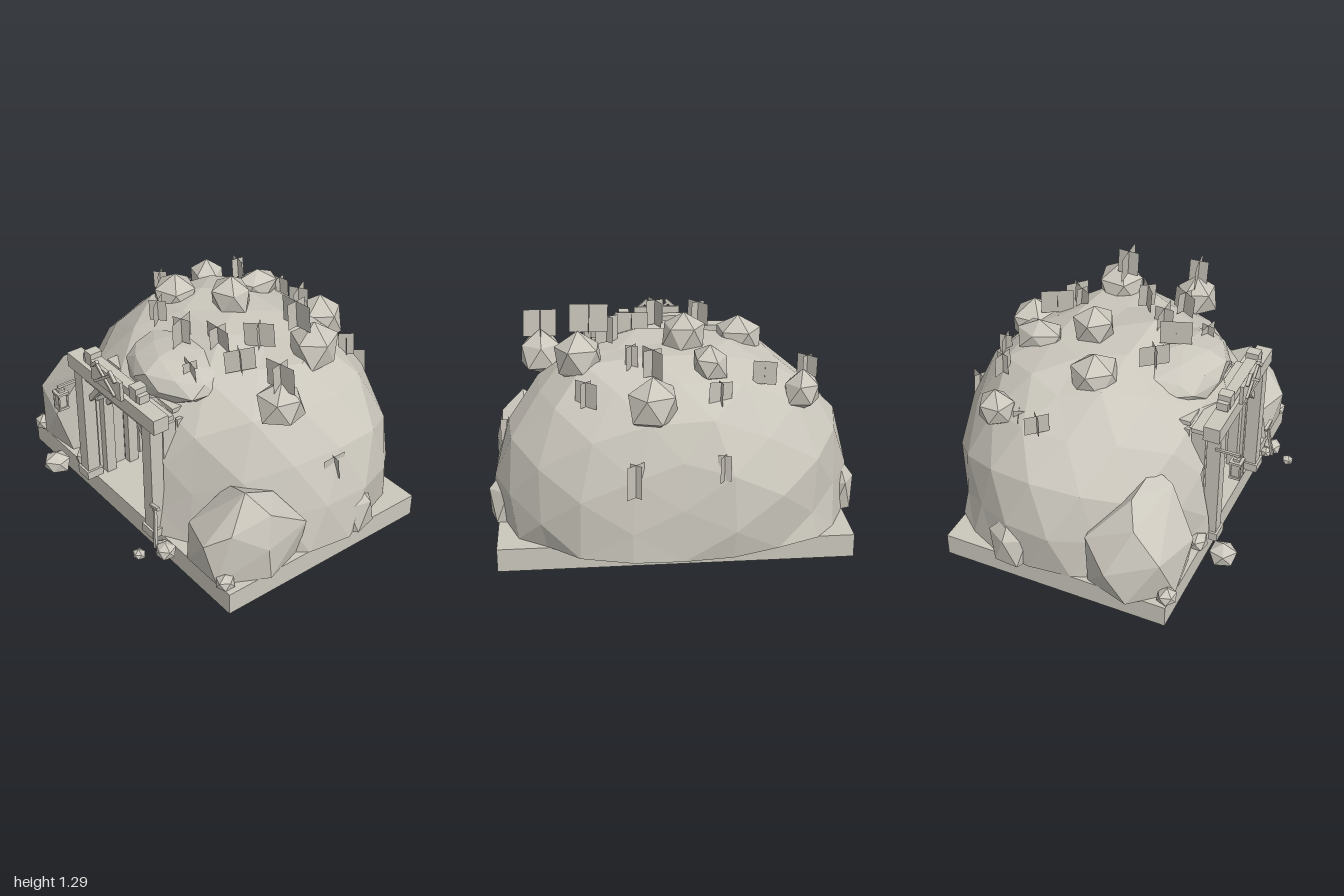
import * as THREE from 'three';
import { mergeVertices } from 'three/addons/utils/BufferGeometryUtils.js';
import { ConvexGeometry } from 'three/addons/geometries/ConvexGeometry.js';

export function createModel() {
  const model = new THREE.Group();
  const stone = new THREE.MeshStandardMaterial({ color: 0xcbc7bd });
  stone.name = 'warm grey stone and timber';
  stone.flatShading = true;
  const leaf = new THREE.MeshStandardMaterial({ color: 0xc6c2b8, side: THREE.DoubleSide });
  leaf.name = 'grey foliage';
  const dark = new THREE.MeshStandardMaterial({ color: 0x1c1c1c });
  dark.name = 'tunnel black';
  const earth = new THREE.MeshStandardMaterial({ color: 0x72716c });
  earth.name = 'dark grey underside';
  const GROUND = 0.127;

  let seed = 7;
  const rnd = () => ((seed = (seed * 16807) % 2147483647) / 2147483647) * 2 - 1;

  const add = (name, geo, x = 0, y = 0, z = 0, mat = stone, parent = model) => {
    const m = new THREE.Mesh(geo, mat);
    m.name = name;
    m.position.set(x, y, z);
    parent.add(m);
    return m;
  };
  const box = (name, w, h, d, x, y, z, mat = stone, parent = model) =>
    add(name, new THREE.BoxGeometry(w, h, d), x, y, z, mat, parent);

  // Square beam between two points
  const beam = (name, a, b, t, parent = model) => {
    const p = new THREE.Vector3(...a), q = new THREE.Vector3(...b);
    const m = box(name, t, p.distanceTo(q), t, 0, 0, 0, stone, parent);
    m.position.copy(p).add(q).multiplyScalar(0.5);
    m.quaternion.setFromUnitVectors(new THREE.Vector3(0, 1, 0), q.sub(p).normalize());
    return m;
  };

  // Indexed icosphere, so shared corners move together
  const ico = (detail) => {
    const g = new THREE.IcosahedronGeometry(1, detail);
    g.deleteAttribute('normal');
    g.deleteAttribute('uv');
    return mergeVertices(g, 1e-3);
  };

  // Faceted rock: corner turned upwards, jittered, and cut flat at the ground
  const rock = (name, [x, y, z], [rx, ry, rz], detail = 0, rough = 0.12) => {
    const g = ico(detail), p = g.attributes.position;
    g.rotateX(-Math.atan((1 + Math.sqrt(5)) / 2));
    g.rotateY(rnd() * 3);
    for (let i = 0; i < p.count; i++) {
      const k = 1 + rnd() * rough;
      p.setXYZ(i, p.getX(i) * k * rx, Math.max(p.getY(i) * k * ry, GROUND - y), p.getZ(i) * k * rz);
    }
    const flat = g.toNonIndexed();
    flat.computeVertexNormals();
    return add(name, flat, x, y, z);
  };

  // Base slab with a darker underside
  box('baseSlab', 1.87, GROUND, 1.28, 0.015, GROUND / 2, 0.005, [stone, stone, stone, earth, stone, stone]);

  // Mountain: hollow faceted dome with a doorway cut in the front
  {
    const g = ico(3), p = g.attributes.position, low = [];
    for (let i = 0; i < p.count; i++) {
      let x = p.getX(i), y = p.getY(i), z = p.getZ(i), r = Math.hypot(x, z);
      low[i] = y <= 0.02;
      if (low[i]) { x /= r || 1; z /= r || 1; y = 0; r = 1; }
      const n = 2.7, s = Math.pow(Math.pow(r, n) + Math.pow(y, n), -1 / n) * (1 + rnd() * 0.03);
      p.setXYZ(i, 0.97 * x * s, GROUND + 0.93 * y * s, -0.125 + (z > 0 ? 0.8 : 0.74) * z * s);
    }
    const W = 0.35, H = 0.82, idx = g.index.array, keep = [];
    const inside = Array.from({ length: p.count }, (_, i) =>
      Math.abs(p.getX(i)) < W && p.getY(i) < H && p.getZ(i) > 0.1);
    for (let i = 0; i < idx.length; i += 3) {
      const t = [idx[i], idx[i + 1], idx[i + 2]];
      if (!t.every((v) => low[v]) && !t.every((v) => inside[v])) keep.push(...t);
    }
    // Slide corners left inside the doorway out to its nearest edge
    for (let i = 0; i < p.count; i++) {
      if (!inside[i]) continue;
      const x = p.getX(i), y = p.getY(i);
      if (W - Math.abs(x) < H - y) p.setX(i, x < 0 ? -W : W);
      else p.setY(i, H);
    }
    g.setIndex(keep);
    const flat = g.toNonIndexed();
    flat.computeVertexNormals();
    add('mountain', flat);
  }

  // Large angular boulders on both sides of the entrance
  const boulder = (name, corners) =>
    add(name, new ConvexGeometry(corners.map((c) => new THREE.Vector3(...c))));
  boulder('rightBoulder', [
    [-0.98, GROUND, 0.45], [-0.9, GROUND, 0.2], [-0.6, GROUND, 0.15], [-0.5, GROUND, 0.35],
    [-0.55, GROUND, 0.62], [-0.8, GROUND, 0.65], [-1, 0.3, 0.34], [-0.9, 0.38, 0.6],
    [-0.62, 0.36, 0.67], [-0.5, 0.42, 0.42], [-0.6, 0.45, 0.18], [-0.9, 0.42, 0.19],
    [-0.75, 0.62, 0.38], [-0.52, 0.67, 0.4], [-0.55, 0.62, 0.52], [-0.88, 0.54, 0.45],
  ]);
  boulder('leftBoulder', [
    [0.5, GROUND, 0.45], [0.6, GROUND, 0.65], [0.85, GROUND, 0.65], [0.98, GROUND, 0.4],
    [0.9, GROUND, 0.15], [0.6, GROUND, 0.2], [0.47, 0.22, 0.4], [0.58, 0.34, 0.62],
    [0.78, 0.34, 0.68], [0.98, 0.32, 0.42], [0.94, 0.34, 0.14], [0.62, 0.4, 0.2],
    [0.88, 0.42, 0.58], [0.82, 0.6, 0.45], [0.62, 0.5, 0.4], [0.94, 0.5, 0.38], [0.8, 0.5, 0.25],
  ]);

  // Brow over the entrance, ridge and side rocks
  rock('browRock', [0.08, 0.9, 0.31], [0.33, 0.13, 0.24], 1, 0.08);
  rock('topRidge', [-0.17, 1.03, -0.42], [0.1, 0.1, 0.15], 0, 0.08);
  rock('sideRock', [0.9, 0.2, -0.22], [0.11, 0.22, 0.13], 0, 0.08);
  rock('sideRock', [-0.9, 0.2, -0.24], [0.1, 0.2, 0.13], 0, 0.08);

  // Rocks set into the slopes: x, y, z, radius
  for (const [x, y, z, r] of [
    [-0.65, 0.87, -0.43, 0.11], [0.14, 0.89, -0.62, 0.14], [-0.37, 1.02, 0, 0.13],
    [-0.06, 1.1, -0.15, 0.12], [0.5, 1.02, -0.25, 0.14], [0.7, 0.93, 0.13, 0.13],
  ]) rock('slopeRock', [x, y, z], [r, r, r], 0, 0.1);

  // Pebbles on the ground
  for (const [x, z, r] of [
    [-0.86, 0.63, 0.06], [-0.46, 0.78, 0.08], [-0.42, 0.62, 0.06], [0.51, 0.72, 0.055],
    [0.44, 0.84, 0.035], [0.88, 0.62, 0.055], [0.46, 0.7, 0.035],
  ]) rock('pebble', [x, GROUND + r * 0.45, z], [r, r * 0.85, r], 0, 0.1);

  // Foliage: two crossed cards each: x, y, z, width, height, turn
  for (const [x, y, z, w, h, a] of [
    [0.44, 1.215, -0.18, 0.2, 0.15, 0.05], [0.7, 1.095, 0.14, 0.18, 0.15, 0.15],
    [-0.73, 0.91, -0.15, 0.13, 0.11, -0.8], [-0.65, 0.84, -0.3, 0.1, 0.11, 0.4],
    [-0.18, 1.1, 0.25, 0.16, 0.12, -0.9], [0.06, 1.1, 0.27, 0.17, 0.14, -1.2],
    [0.2, 1.08, 0.14, 0.18, 0.12, 0], [0.42, 1.06, 0.17, 0.16, 0.13, 1.1],
    [0.27, 0.99, 0.37, 0.13, 0.12, -0.2], [0.34, 1.1, -0.02, 0.16, 0.14, 0.7],
    [-0.44, 1.0, -0.5, 0.12, 0.12, -0.2], [0.13, 1.06, -0.47, 0.18, 0.14, -1.05],
    [0.23, 1.06, -0.37, 0.12, 0.12, 1.1], [0.47, 0.92, -0.52, 0.14, 0.13, -0.7],
    [-0.2, 0.94, -0.62, 0.12, 0.12, 0.2], [-0.2, 0.62, -0.81, 0.12, 0.13, 1.1],
    [0.24, 0.57, -0.82, 0.13, 0.17, 0.8], [0.89, 0.56, -0.08, 0.13, 0.12, 1.5],
  ]) {
    const tuft = new THREE.Group();
    tuft.name = 'foliage';
    tuft.position.set(x, y, z);
    tuft.rotation.set(0.06, a, 0.04);
    for (const turn of [0, Math.PI / 2])
      add('foliageCard', new THREE.PlaneGeometry(turn ? w * 0.6 : w, h), 0, 0, 0, leaf, tuft).rotation.y = turn;
    model.add(tuft);
  }

  // Tunnel: dark end, with timber frames and wall planks leading in
  const tunnel = new THREE.Group();
  tunnel.name = 'tunnel';
  model.add(tunnel);
  box('tunnelEnd', 0.64, 0.68, 0.2, 0.015, GROUND + 0.34, 0.05, dark, tunnel);
  for (const z of [0.26, 0.4, 0.55]) {
    box('roofTimber', 0.62, 0.07, 0.06, 0.015, 0.755, z, stone, tunnel);
    for (const s of [-1, 1]) {
      box('wallPost', 0.045, 0.64, 0.06, 0.015 + s * 0.285, 0.445, z, stone, tunnel);
      beam('wallBrace', [0.015 + s * 0.26, 0.6, z], [0.015 + s * 0.14, 0.72, z], 0.03, tunnel);
    }
  }
  for (let i = 0; i < 5; i++) {
    const z = 0.2 + i * 0.09;
    box('roofPlank', 0.66 - (i % 2) * 0.06, 0.025, 0.075, 0, 0.81 + (i % 2) * 0.012, z, stone, tunnel);
    for (const s of [-1, 1]) box('wallPlank', 0.02, 0.67, 0.078, 0.015 + s * 0.318, 0.46, z, stone, tunnel);
  }

  // Entrance frame
  const frame = new THREE.Group();
  frame.name = 'entranceFrame';
  model.add(frame);
  for (const s of [-1, 1]) {
    const x = 0.01 + s * 0.315;
    box('frontPost', 0.075, 0.69, 0.075, x, 0.475, 0.655, stone, frame);
    box('postFoot', 0.1, 0.05, 0.1, x, 0.15, 0.655, stone, frame);
    beam('frontBrace', [0.01 + s * 0.28, 0.65, 0.64], [0.01 + s * 0.16, 0.79, 0.64], 0.03, frame);
    box('topBlock', 0.06, 0.075, 0.07, 0.01 + s * 0.205, 0.96, 0.655, stone, frame);
  }
  box('lintel', 0.8, 0.085, 0.09, 0.01, 0.862, 0.655, stone, frame);
  box('innerLintel', 0.56, 0.04, 0.06, 0.01, 0.8, 0.645, stone, frame);
  box('upperBeam', 0.52, 0.045, 0.06, 0.01, 0.943, 0.655, stone, frame);

  // Sign board with crossed picks
  box('signBoard', 0.27, 0.11, 0.02, 0.015, 0.945, 0.71, stone, frame);
  for (const s of [-1, 1]) {
    beam('pickHandle', [0.015 - s * 0.09, 0.9, 0.726], [0.015 + s * 0.08, 1.025, 0.726], 0.014, frame);
    beam('pickHead', [0.015 + s * 0.055, 1.035, 0.728], [0.015 + s * 0.105, 0.99, 0.728], 0.018, frame);
  }

  // Lantern hung from a bracket on the right post
  const lantern = new THREE.Group();
  lantern.name = 'lantern';
  lantern.position.set(-0.345, 0, 0.785);
  model.add(lantern);
  beam('bracket', [0, 0.745, -0.12], [0, 0.745, 0.015], 0.014, lantern);
  box('hook', 0.01, 0.03, 0.01, 0, 0.732, 0, stone, lantern);
  box('lanternCap', 0.066, 0.014, 0.066, 0, 0.708, 0, stone, lantern);
  box('lanternTop', 0.035, 0.016, 0.035, 0, 0.722, 0, stone, lantern);
  box('lanternGlass', 0.044, 0.085, 0.044, 0, 0.66, 0, stone, lantern);
  box('lanternBase', 0.06, 0.014, 0.06, 0, 0.615, 0, stone, lantern);
  for (const sx of [-1, 1]) for (const sz of [-1, 1])
    box('lanternBar', 0.008, 0.085, 0.008, sx * 0.025, 0.66, sz * 0.025, stone, lantern);

  // Pick leaning beside the left post
  beam('toolHandle', [0.45, 0.14, 0.74], [0.41, 0.375, 0.71], 0.016);
  beam('toolHead', [0.375, 0.365, 0.71], [0.45, 0.385, 0.715], 0.018);

  return model;
}
